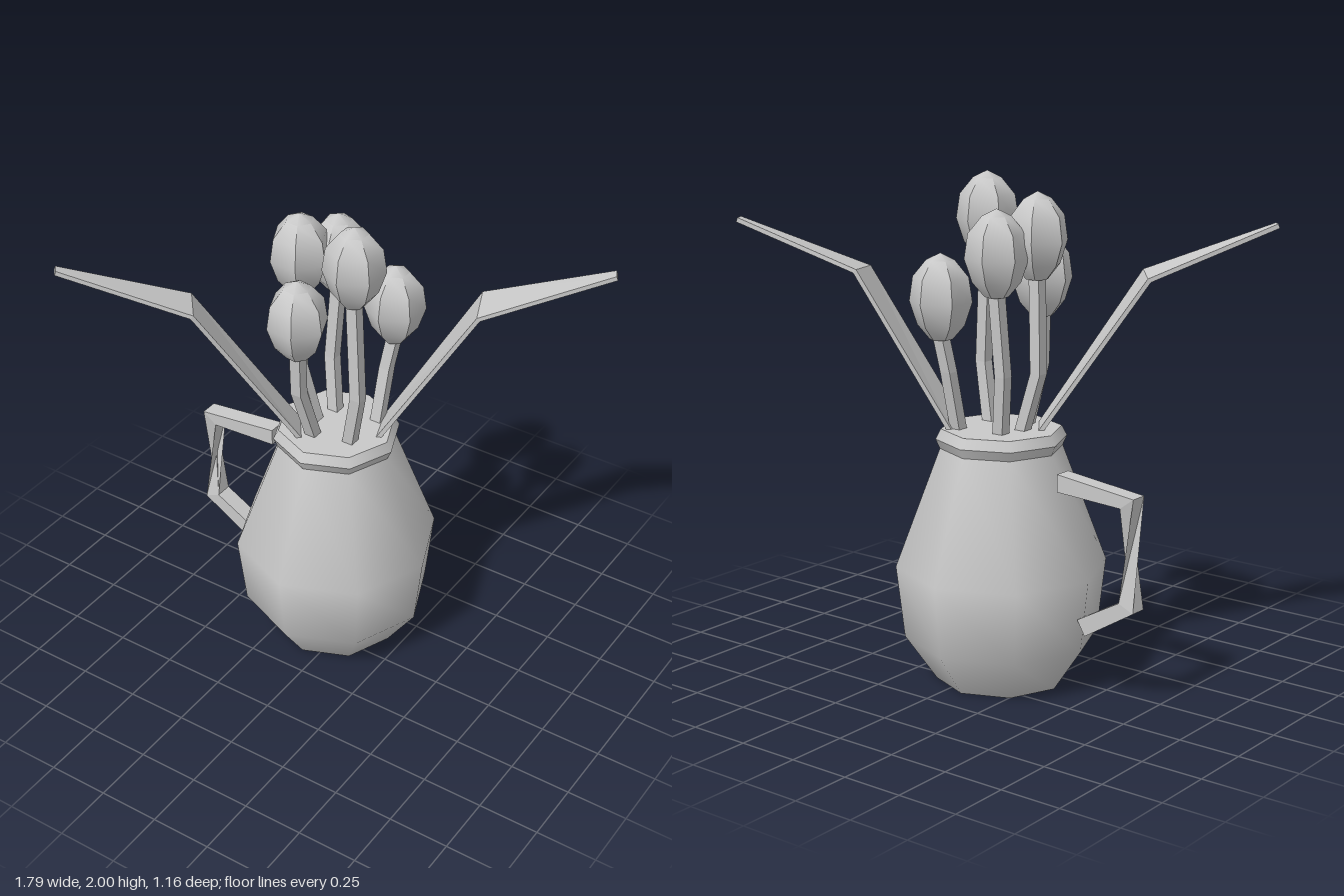
import * as THREE from 'three';
import { toCreasedNormals } from 'three/addons/utils/BufferGeometryUtils.js';

const V = (x, y, z) => new THREE.Vector3(x, y, z);

// Flat-shaded closed skin over a list of rings (counter-clockwise about the path)
function loft(rings) {
  const pos = [];
  const tri = (...pts) => pts.forEach((p) => pos.push(p.x, p.y, p.z));
  const n = rings[0].length;
  for (let r = 0; r < rings.length - 1; r++) {
    for (let i = 0; i < n; i++) {
      const j = (i + 1) % n;
      const a = rings[r][i], b = rings[r][j], c = rings[r + 1][j], d = rings[r + 1][i];
      tri(a, b, c);
      tri(a, c, d);
    }
  }
  const first = rings[0], last = rings[rings.length - 1];
  for (let i = 1; i < n - 1; i++) {
    tri(first[0], first[i + 1], first[i]);
    tri(last[0], last[i], last[i + 1]);
  }
  const g = new THREE.BufferGeometry();
  g.setAttribute('position', new THREE.Float32BufferAttribute(pos, 3));
  g.computeVertexNormals();
  return g;
}

function lathe(points, sides) {
  return new THREE.LatheGeometry(points.map(([r, y]) => new THREE.Vector2(r, y)), sides);
}

// Square stem through a list of points
function stemGeometry(path, radius) {
  return loft(path.map((p) => [0, 1, 2, 3].map((i) => {
    const a = (i + 0.5) * Math.PI / 2;
    return V(p.x + radius * Math.sin(a), p.y, p.z + radius * Math.cos(a));
  })));
}

// Thin leaf blade from pairs of edge points
function leafGeometry(pairs, thickness) {
  const mids = pairs.map(([a, b]) => a.clone().add(b).multiplyScalar(0.5));
  return loft(pairs.map(([a, b], k) => {
    const dir = mids[Math.min(k + 1, mids.length - 1)].clone().sub(mids[Math.max(k - 1, 0)]);
    const n = dir.cross(a.clone().sub(b)).normalize().multiplyScalar(thickness / 2);
    return [a.clone().add(n), b.clone().add(n), b.clone().sub(n), a.clone().sub(n)];
  }));
}

export function createModel() {
  const model = new THREE.Group();
  const clay = new THREE.MeshStandardMaterial({ color: 0xc8c8c8 });
  clay.name = 'light grey';

  const add = (name, geometry, parent = model) => {
    const mesh = new THREE.Mesh(geometry, clay);
    mesh.name = name;
    parent.add(mesh);
    return mesh;
  };

  // Eight-sided jug: rounded body, base, collar and closed top
  const jug = new THREE.Group();
  jug.name = 'jug';
  jug.position.set(-0.07, 0, -0.117);
  model.add(jug);
  add('jugBody', lathe([[0.26, 0], [0.385, 0.18], [0.418, 0.47], [0.24, 0.945]], 8), jug);
  add('jugBase', lathe([[0, 0], [0.26, 0]], 8), jug);
  add('rimUnderside', lathe([[0.238, 0.935], [0.258, 0.98]], 8), jug);
  add('rimUpperside', lathe([[0.258, 0.98], [0.237, 1.02]], 8), jug);
  add('jugTop', lathe([[0.237, 1.02], [0, 1.02]], 8), jug);

  // Square handle with a quarter twist in the upright: outer x, y, inner x, y
  const handleRings = [
    [-0.365, 0.885, -0.365, 0.815],
    [-0.715, 0.845, -0.655, 0.8],
    [-0.72, 0.4, -0.655, 0.43],
    [-0.5, 0.265, -0.465, 0.325],
  ].map(([ox, oy, ix, iy], k) => {
    const ring = [V(ox, oy, -0.155), V(ix, iy, -0.155), V(ix, iy, -0.083), V(ox, oy, -0.083)];
    return k < 2 ? ring : [...ring.slice(1), ring[0]];
  });
  add('handle', loft(handleRings));

  // Two long folded leaves
  add('leftLeaf', leafGeometry([
    [V(0.055, 1.0, -0.27), V(0.11, 1.0, -0.125)],
    [V(0.395, 1.625, -0.435), V(0.465, 1.615, -0.27)],
    [V(0.87, 1.8, -0.585), V(0.89, 1.8, -0.545)],
  ], 0.018));
  add('rightLeaf', leafGeometry([
    [V(-0.215, 1.0, -0.075), V(-0.13, 1.0, 0.04)],
    [V(-0.555, 1.605, 0.17), V(-0.44, 1.615, 0.31)],
    [V(-0.893, 1.8, 0.545), V(-0.865, 1.8, 0.575)],
  ], 0.018));

  // Flowers: head x, z, top height; bend x, z; base x, z; turn
  const budProfile = [[0, 0], [0.045, 0.005], [0.092, 0.06], [0.122, 0.15],
    [0.108, 0.245], [0.055, 0.31], [0, 0.337]];
  const flowers = [
    [0.08, -0.3, 1.71, 0.06, -0.28, 0.05, -0.23, 0],
    [-0.15, -0.25, 1.89, -0.165, -0.23, -0.13, -0.2, 0.2],
    [-0.22, -0.09, 1.945, -0.235, -0.1, -0.155, -0.1, 0.45],
    [0.062, -0.035, 2.0, 0.085, -0.03, 0.035, -0.05, 0],
    [-0.115, 0.085, 1.77, -0.125, 0.065, -0.11, -0.015, 0.4],
  ];
  for (const [x, z, top, bx, bz, sx, sz, turn] of flowers) {
    const flower = new THREE.Group();
    flower.name = 'flower';
    model.add(flower);
    const bud = add('bud', toCreasedNormals(lathe(budProfile, 6), 0.8), flower);
    bud.position.set(x, top - 0.337, z);
    bud.rotation.y = turn;
    add('stem', stemGeometry([V(sx, 1.0, sz), V(bx, 1.25, bz), V(x, top - 0.32, z)], 0.033), flower);
  }
  return model;
}
